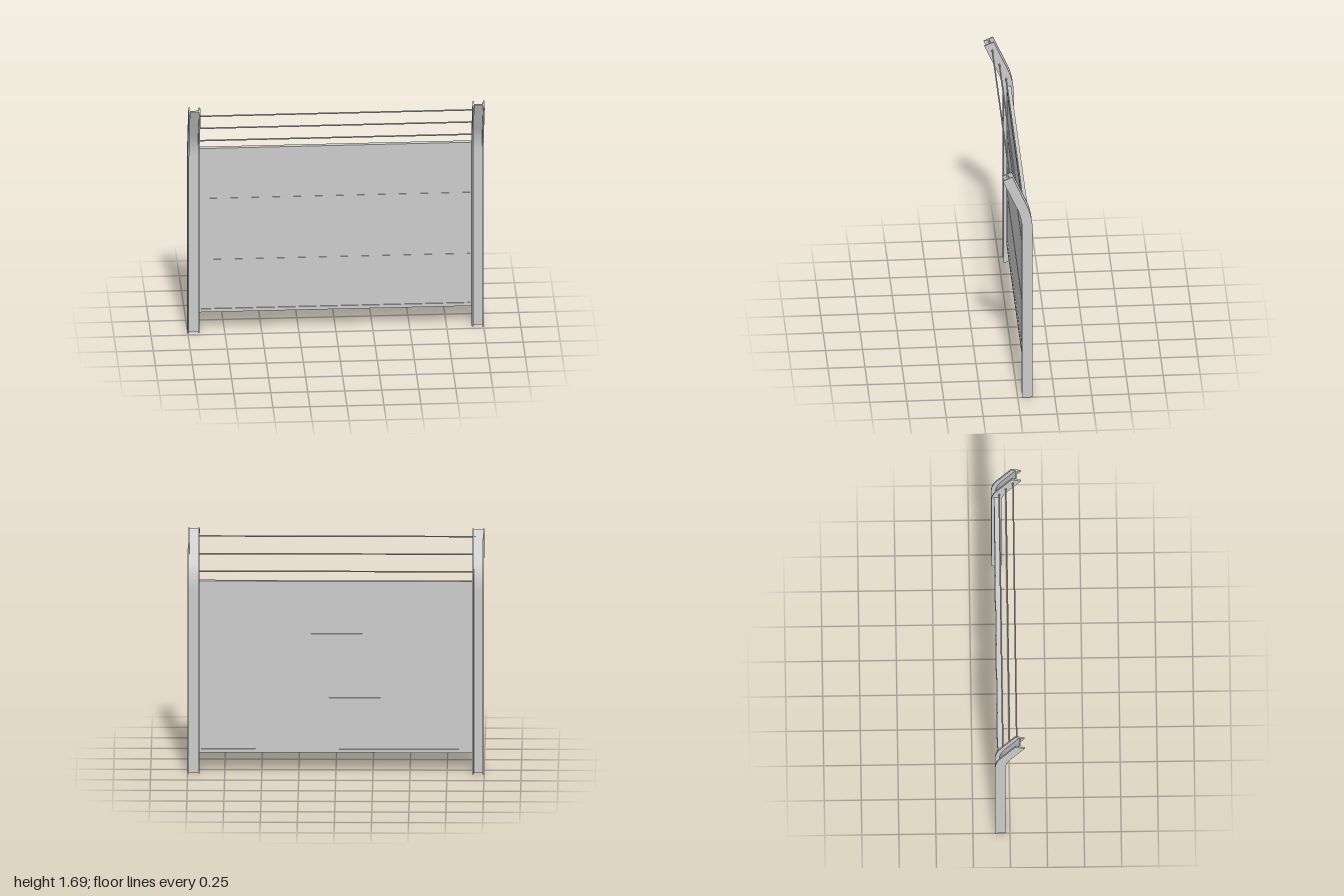
import * as THREE from 'three';

const material = new THREE.MeshStandardMaterial({ color: 0xcccccc });
const Z0 = -0.065;               // centre plane of the upright part
const BEND_Y = 1.29, BEND_R = 0.415, BEND_A = 0.419, TIP = 0.239;

// Post centreline in (z, y): straight, arc, then a straight tip leaning forward
function centreline() {
  const pts = [{ z: Z0, y: 0, a: 0 }];
  const steps = 10;
  for (let i = 0; i <= steps; i++) {
    const a = BEND_A * i / steps;
    pts.push({ z: Z0 + BEND_R * (1 - Math.cos(a)), y: BEND_Y + BEND_R * Math.sin(a), a });
  }
  const e = pts[pts.length - 1];
  pts.push({ z: e.z + TIP * Math.sin(BEND_A), y: e.y + TIP * Math.cos(BEND_A), a: BEND_A });
  return pts;
}

// Plate following the centreline, `width` across it and spanning x0..x1
function bentPlate(name, width, x0, x1) {
  const path = centreline();
  const side = s => path.map(p => new THREE.Vector2(
    -(p.z + s * width / 2 * Math.cos(p.a)), p.y - s * width / 2 * Math.sin(p.a)));
  const shape = new THREE.Shape([...side(1), ...side(-1).reverse()]);
  const geo = new THREE.ExtrudeGeometry(shape, { depth: x1 - x0, bevelEnabled: false });
  geo.rotateY(Math.PI / 2);      // shape x becomes -z, depth becomes x
  geo.translate(x0, 0, 0);
  const mesh = new THREE.Mesh(geo, material);
  mesh.name = name;
  return mesh;
}

function box(name, w, h, d, x, y, z) {
  const mesh = new THREE.Mesh(new THREE.BoxGeometry(w, h, d), material);
  mesh.name = name;
  mesh.position.set(x, y, z);
  return mesh;
}

// I-section post: two flanges joined by a thin web
function post(name, s) {
  const g = new THREE.Group();
  g.name = name;
  const c = s * 0.96;
  g.add(
    bentPlate('outerFlange', 0.07, c - 0.04, c - 0.03),
    bentPlate('innerFlange', 0.07, c + 0.03, c + 0.04),
    bentPlate('web', 0.01, c - 0.03, c + 0.03));
  return g;
}

export function createModel() {
  const model = new THREE.Group();
  model.name = 'fenceSection';
  model.add(post('leftPost', 1), post('rightPost', -1));

  // Panel boards, with a narrow joint strip between neighbours
  const panel = new THREE.Group();
  panel.name = 'panel';
  const levels = [0.15, 0.525, 0.975, 1.35];
  for (let i = 0; i < 3; i++) {
    const h = levels[i + 1] - levels[i];
    panel.add(box('board', 1.83, h - 0.004, 0.018, 0, levels[i] + h / 2, Z0));
    if (i > 0) panel.add(box('jointStrip', 1.83, 0.01, 0.024, 0, levels[i], Z0));
  }

  // Frame around the boards
  for (const y of [0.157, 1.338]) panel.add(box('frameRail', 1.84, 0.024, 0.032, 0, y, Z0));
  for (const s of [-1, 1]) panel.add(box('frameStile', 0.012, 1.2, 0.032, s * 0.915, 0.75, Z0));
  model.add(panel);

  // Wires strung between the leaning post tips
  const wires = [[1.41, -0.047], [1.52, -0.002], [1.63, 0.046]];
  for (const [y, z] of wires) {
    const geo = new THREE.CylinderGeometry(0.005, 0.005, 1.89, 12);
    geo.rotateZ(Math.PI / 2);
    const wire = new THREE.Mesh(geo, material);
    wire.name = 'wire';
    wire.position.set(0, y, z);
    model.add(wire);
  }
  return model;
}
